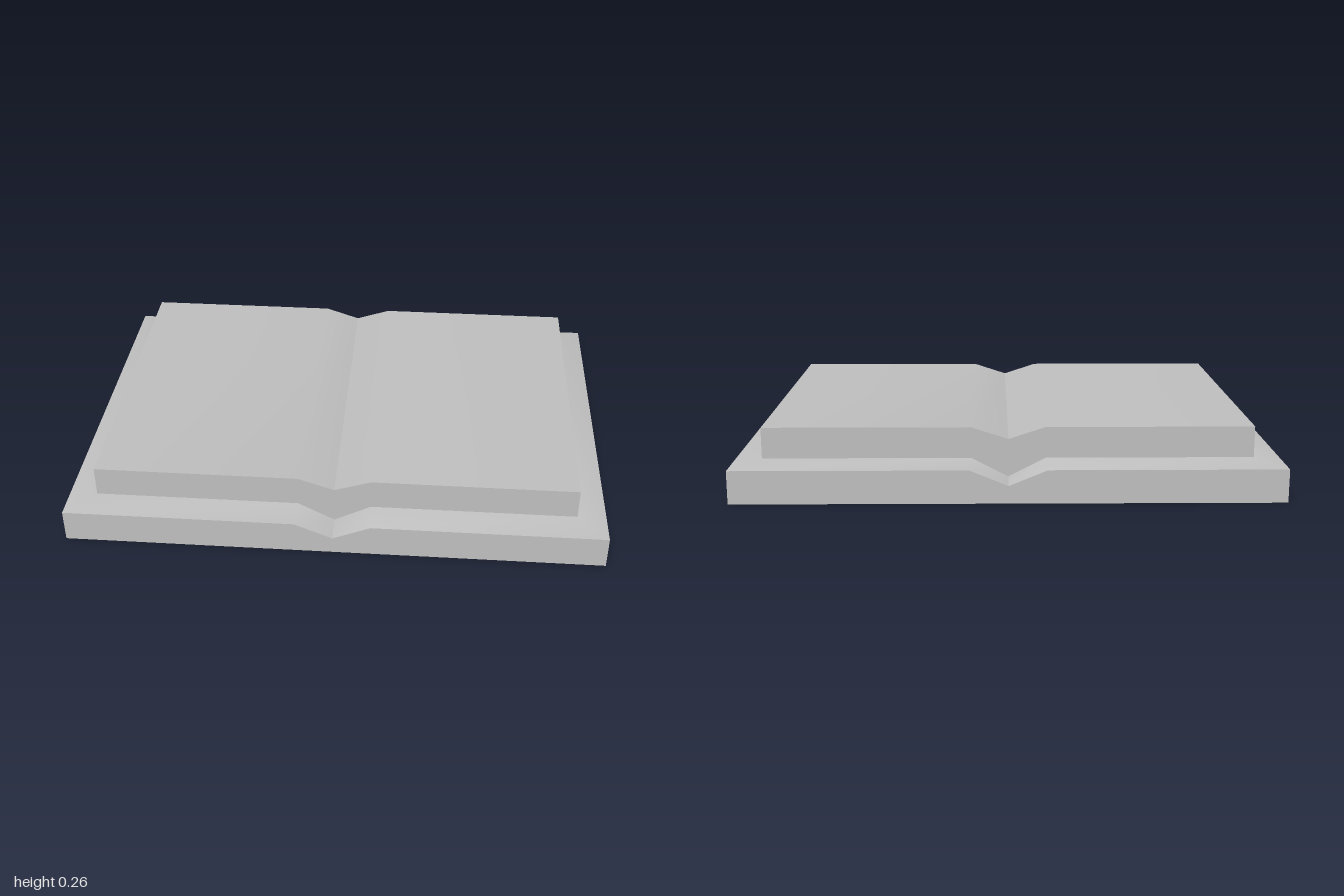
import * as THREE from 'three';
import { toCreasedNormals } from 'three/addons/utils/BufferGeometryUtils.js';

// Rectangular ring of ten points with a notch of its own height at the spine
function ring(halfX, halfZ, fold, y, spineY) {
  const xs = [-halfX, -fold, 0, fold, halfX];
  const front = xs.map((x) => [x, x === 0 ? spineY : y, halfZ]);
  const back = front.map(([x, h]) => [x, h, -halfZ]).reverse();
  return [...front, ...back];
}

// Walls between successive rings, with optional bottom and top caps
function loft(rings, capBottom, capTop) {
  const pos = [];
  const quad = (a, b, c, d) => pos.push(...a, ...b, ...c, ...a, ...c, ...d);
  for (let r = 0; r + 1 < rings.length; r++) {
    const lo = rings[r], hi = rings[r + 1];
    for (let i = 0; i < 10; i++) {
      const j = (i + 1) % 10;
      quad(lo[i], lo[j], hi[j], hi[i]);
    }
  }
  const first = rings[0], last = rings[rings.length - 1];
  for (let i = 0; i < 4; i++) {
    if (capBottom) quad(first[9 - i], first[8 - i], first[i + 1], first[i]);
    if (capTop) quad(last[i], last[i + 1], last[8 - i], last[9 - i]);
  }
  const geo = new THREE.BufferGeometry();
  geo.setAttribute('position', new THREE.Float32BufferAttribute(pos, 3));
  return toCreasedNormals(geo, 0.5);
}

export function createModel() {
  const group = new THREE.Group();
  group.name = 'openBook';
  const grey = new THREE.MeshStandardMaterial({ color: 0xc0c0c0 });
  grey.name = 'grey';

  const bottom = ring(1, 0.72, 0.14, 0, 0);
  const coverEdge = ring(1, 0.72, 0.14, 0.123, 0.065);
  const pageFoot = ring(0.89, 0.622, 0.135, 0.143, 0.073);
  const pageTop = ring(0.89, 0.622, 0.135, 0.257, 0.213);

  // Cover slab with a shallow sloping rim
  const cover = new THREE.Mesh(loft([bottom, coverEdge, pageFoot], true, false), grey);
  cover.name = 'cover';

  // Page block dipping into the spine
  const pages = new THREE.Mesh(loft([pageFoot, pageTop], false, true), grey);
  pages.name = 'pages';

  group.add(cover, pages);
  return group;
}
